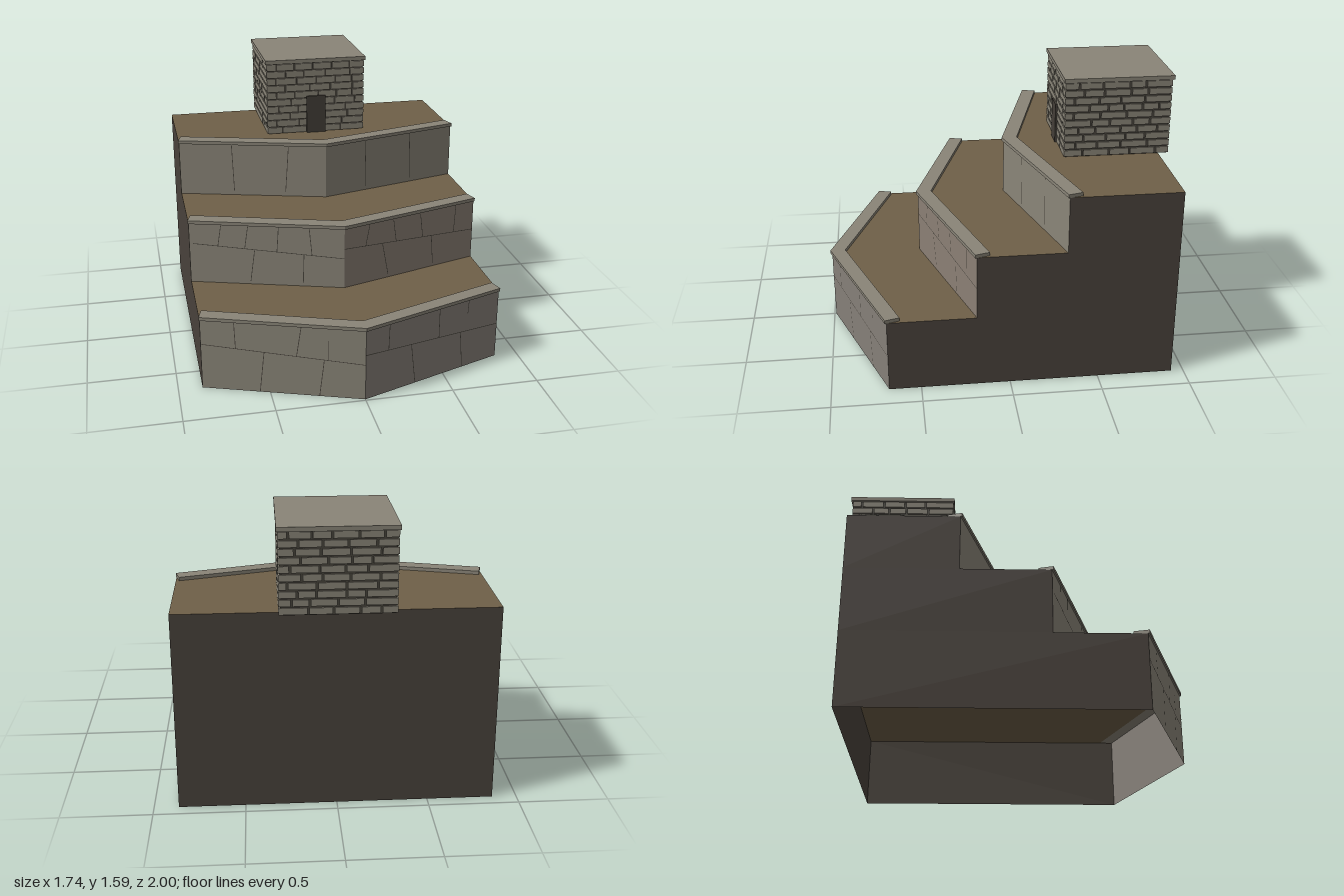
import * as THREE from 'three';
import { mergeGeometries } from 'three/addons/utils/BufferGeometryUtils.js';

const mat = (name, color, side = THREE.FrontSide) => {
  const m = new THREE.MeshStandardMaterial({ color, side });
  m.name = name;
  return m;
};

const HALF = 0.865, BACK = -0.93;

// Quad from four [x, y, z] corners, anticlockwise from outside
function quad(a, b, c, d) {
  const g = new THREE.BufferGeometry();
  g.setAttribute('position', new THREE.Float32BufferAttribute([a, b, c, a, c, d].flat(), 3));
  g.computeVertexNormals();
  return g;
}

// Upright panel between two plan points [x, z]
const panel = (p, q, y0, y1) =>
  quad([p[0], y0, p[1]], [q[0], y0, q[1]], [q[0], y1, q[1]], [p[0], y1, p[1]]);

// Flat plan outline of [x, z] points
const plan = (pts) => new THREE.Shape(pts.map(([x, z]) => new THREE.Vector2(x, -z)));

export function createModel() {
  const both = THREE.DoubleSide;
  const stone = mat('stone', 0x8a8578, both);
  const greyStone = mat('grey stone', 0x868079, both);
  const warmStone = mat('warm stone', 0x8b8075, both);
  const soil = mat('soil', 0x6f6048, both);
  const earth = mat('dark earth', 0x49423b, both);
  const mortar = mat('mortar', 0x46423a, both);
  const doorMat = mat('door', 0x443f38);

  const model = new THREE.Group();
  model.name = 'terracedHill';
  const add = (parent, name, geo, material) => {
    const m = new THREE.Mesh(geo, material);
    m.name = name;
    parent.add(m);
    return m;
  };

  // Terraces; each joint is x0, y0, x1, y1 on the front wall
  const tiers = [
    { y0: 0, y1: 0.425, apex: 0.99, end: 0.68, right: greyStone, joints: [
      [-0.86, 0.275, 0, 0.215], [0, 0.275, 0.865, 0.215],
      [-0.685, 0.42, -0.68, 0.265], [-0.335, 0.42, -0.36, 0.24], [-0.195, 0.35, -0.195, 0.23],
      [0.145, 0.42, 0.14, 0.265], [0.465, 0.42, 0.465, 0.245], [0.66, 0.42, 0.655, 0.34],
      [-0.53, 0.25, -0.555, 0], [-0.215, 0.23, -0.24, 0],
      [0.285, 0.255, 0.315, 0], [0.61, 0.23, 0.63, 0]] },
    { y0: 0.425, y1: 0.795, apex: 0.455, end: 0.185, right: warmStone, joints: [
      [-0.845, 0.67, 0, 0.61], [0, 0.67, 0.865, 0.61],
      [-0.685, 0.79, -0.705, 0.66], [-0.535, 0.79, -0.555, 0.65],
      [-0.365, 0.79, -0.375, 0.64], [-0.195, 0.79, -0.18, 0.62],
      [0.16, 0.79, 0.135, 0.66], [0.315, 0.79, 0.335, 0.65],
      [0.495, 0.79, 0.515, 0.635], [0.74, 0.79, 0.73, 0.62],
      [-0.5, 0.64, -0.525, 0.445], [-0.225, 0.625, -0.23, 0.445],
      [0.245, 0.65, 0.285, 0.445], [0.575, 0.63, 0.59, 0.445]] },
    { y0: 0.795, y1: 1.12, apex: -0.065, end: -0.31, right: stone, joints: [
      [-0.555, 1.12, -0.545, 0.82], [-0.22, 1.12, -0.24, 0.82],
      [0.265, 1.12, 0.265, 0.82], [0.57, 1.12, 0.577, 0.82]] },
  ];

  tiers.forEach(({ y0, y1, apex, end, right, joints }, i) => {
    const tier = new THREE.Group();
    tier.name = 'terrace' + (i + 1);
    model.add(tier);
    const fl = [-HALF, end], fm = [0, apex], fr = [HALF, end], br = [HALF, BACK], bl = [-HALF, BACK];

    add(tier, 'rightFrontWall', panel(fl, fm, y0, y1), stone);
    add(tier, 'leftFrontWall', panel(fm, fr, y0, y1), right);
    add(tier, 'earthSides', mergeGeometries([
      panel(fr, br, y0, y1), panel(br, bl, y0, y1), panel(bl, fl, y0, y1)]), earth);
    add(tier, 'soilTop', new THREE.ShapeGeometry(plan([fl, fm, fr, br, bl])).rotateX(-Math.PI / 2), soil)
      .position.y = y1;

    // V-shaped coping along the wall top
    const cap = plan([[-0.87, end + 0.008], [0, apex + 0.01], [0.87, end + 0.008],
      [0.847, end - 0.073], [0, apex - 0.08], [-0.847, end - 0.073]]);
    add(tier, 'coping', new THREE.ExtrudeGeometry(cap, { depth: 0.02, bevelEnabled: false })
      .rotateX(-Math.PI / 2), stone).position.y = y1;

    // Thin joint strips lying on the wall
    const wallZ = (x) => apex - Math.abs(x) * (apex - end) / HALF + 0.002;
    const strips = joints.map(([xa, ya, xb, yb]) => {
      const level = Math.abs(xb - xa) > Math.abs(yb - ya), w = 0.002;
      const at = (x, y) => [x, y, wallZ(x)];
      return level
        ? quad(at(xa, ya - w), at(xb, yb - w), at(xb, yb + w), at(xa, ya + w))
        : quad(at(xb - w, yb), at(xb + w, yb), at(xa + w, ya), at(xa - w, ya));
    });
    add(tier, 'wallJoints', mergeGeometries(strips), mortar);
  });

  // Brick house on the top terrace
  const house = new THREE.Group();
  house.name = 'house';
  house.position.set(0, 1.12, -0.682);
  model.add(house);
  const H = 0.445, R = 0.306, ROWS = 10;
  add(house, 'mortarCore', new THREE.BoxGeometry(0.596, H, 0.596).translate(0, H / 2, 0), mortar);

  let seed = 7;
  const rand = () => (seed = (seed * 16807) % 2147483647) / 2147483647;
  const rowH = H / ROWS;
  ['front', 'left', 'back', 'right'].forEach((side, s) => {
    const bricks = [];
    for (let r = 0; r < ROWS; r++) {
      let x = -R;
      let len = r % 2 ? 0.05 + rand() * 0.04 : 0.1 + rand() * 0.06;
      while (x < R) {
        if (R - x - len < 0.05) len = R - x;
        const gap = x + len >= R ? 0 : 0.011;
        bricks.push(new THREE.BoxGeometry(len - gap, rowH - 0.009, 0.012)
          .translate(x + (len - gap) / 2, (r + 0.5) * rowH, R - 0.006));
        x += len;
        len = 0.09 + rand() * 0.07;
      }
    }
    add(house, side + 'Bricks', mergeGeometries(bricks), stone).rotation.y = s * Math.PI / 2;
  });

  add(house, 'roofSlab', new THREE.BoxGeometry(0.626, 0.024, 0.63).translate(0, H + 0.012, -0.002), stone);
  add(house, 'door', new THREE.BoxGeometry(0.12, 0.235, 0.03).translate(0, 0.1175, 0.302), doorMat);

  return model;
}
